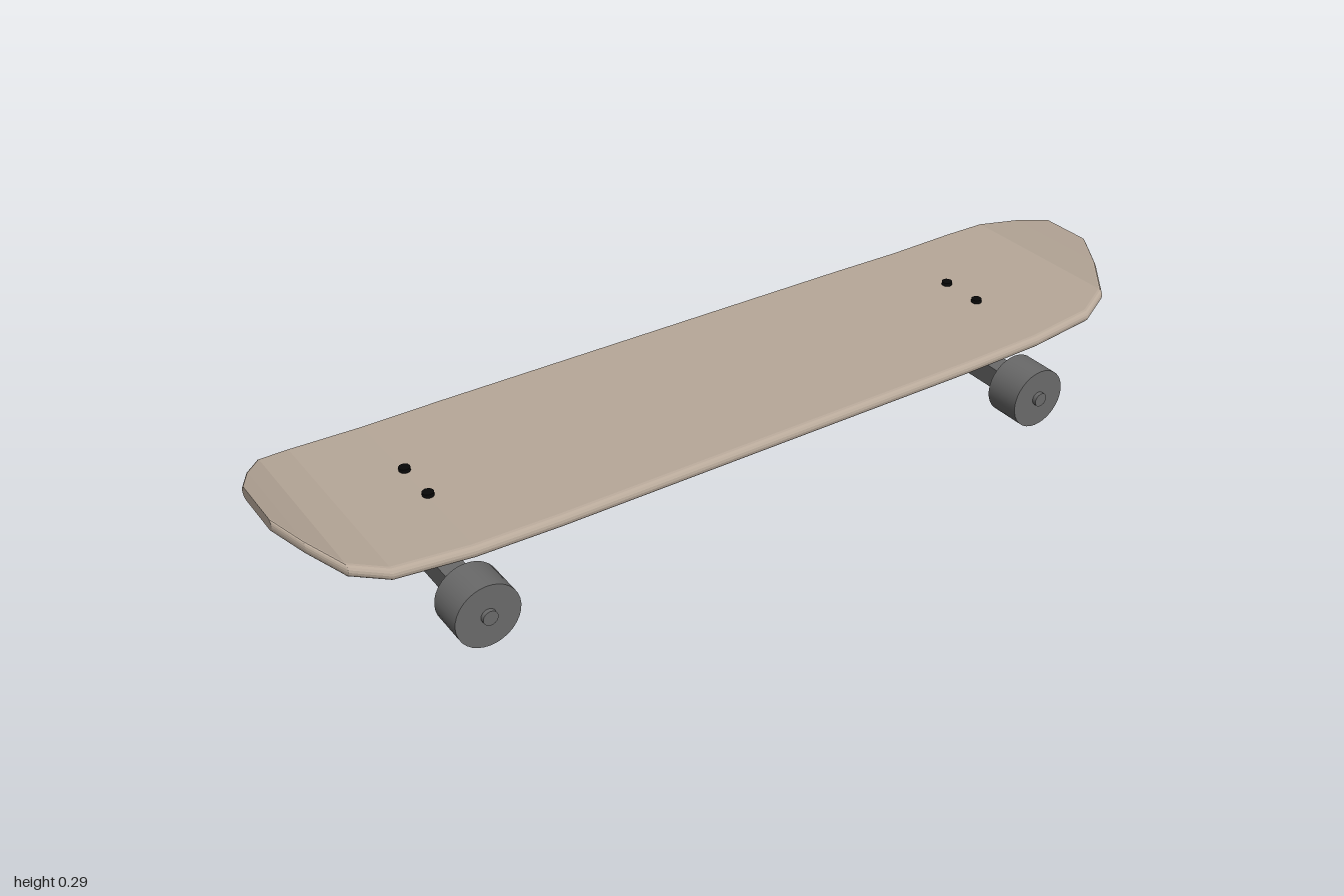
import * as THREE from 'three';
import { toCreasedNormals } from 'three/addons/utils/BufferGeometryUtils.js';

const wood = new THREE.MeshStandardMaterial({ color: 0xb7a899 });
wood.name = 'wood';
const grey = new THREE.MeshStandardMaterial({ color: 0x6a6a6a });
grey.name = 'grey';
const black = new THREE.MeshStandardMaterial({ color: 0x080808 });
black.name = 'black';

function add(parent, name, geometry, material, x = 0, y = 0, z = 0) {
  const mesh = new THREE.Mesh(geometry, material);
  mesh.name = name;
  mesh.position.set(x, y, z);
  parent.add(mesh);
  return mesh;
}

// Board lofted along x from round-edged cross-sections
function deckGeometry() {
  const half = [ // x, half width, top height
    [0.51, 0.256, 0.213], [0.69, 0.252, 0.214], [0.85, 0.242, 0.224],
    [0.92, 0.212, 0.243], [0.967, 0.14, 0.27], [1, 0.07, 0.29],
  ];
  const stations = [...half.map(([x, w, y]) => [-x, w, y]).reverse(), ...half];
  const r = 0.0135, n = 8, ring = 2 * (n + 1);
  const pos = [], idx = [];
  for (const [x, w, top] of stations) {
    for (const side of [1, -1]) {
      for (let k = 0; k <= n; k++) {
        const a = -Math.PI / 2 + (k / n) * Math.PI;
        pos.push(x, top - r + side * r * Math.sin(a), side * (w - r + r * Math.cos(a)));
      }
    }
  }
  const last = (stations.length - 1) * ring;
  for (let s = 0; s < last; s += ring) {
    for (let j = 0; j < ring; j++) {
      const a = s + j, b = s + (j + 1) % ring;
      idx.push(a, a + ring, b, b, a + ring, b + ring);
    }
  }
  // End caps
  for (let j = 1; j < ring - 1; j++) {
    idx.push(0, j, j + 1, last, last + j + 1, last + j);
  }
  const g = new THREE.BufferGeometry();
  g.setAttribute('position', new THREE.Float32BufferAttribute(pos, 3));
  g.setIndex(idx);
  const flat = g.toNonIndexed();
  flat.computeVertexNormals();
  return flat;
}

// Wheel along z, outer face at +z, optionally dished
function wheelGeometry(dished) {
  const R = 0.069, h = 0.0425;
  const profile = [[0, -h], [R, -h], [R, h]];
  if (dished) profile.push([0.047, h], [0.045, h - 0.01], [0, h - 0.01]);
  else profile.push([0, h]);
  const g = new THREE.LatheGeometry(profile.map(([a, b]) => new THREE.Vector2(a, b)), 32);
  g.rotateX(Math.PI / 2);
  return toCreasedNormals(g, 0.6);
}

function makeTruck() {
  const truck = new THREE.Group();
  add(truck, 'baseplate', new THREE.BoxGeometry(0.187, 0.026, 0.187), grey, 0, 0.175, 0);
  add(truck, 'pillar', new THREE.BoxGeometry(0.054, 0.034, 0.074), grey, 0, 0.147, 0);
  add(truck, 'hanger', new THREE.BoxGeometry(0.085, 0.062, 0.13), grey, 0, 0.102, 0);
  add(truck, 'axleBeam', new THREE.BoxGeometry(0.05, 0.05, 0.385), grey, 0, 0.07, 0);
  for (const s of [1, -1]) {
    const wheel = add(truck, s > 0 ? 'frontWheel' : 'backWheel', wheelGeometry(s < 0), grey, 0, 0.069, s * 0.231);
    if (s < 0) wheel.rotation.y = Math.PI;
    const axle = add(truck, 'axleEnd', new THREE.CylinderGeometry(0.016, 0.016, 0.05, 20), grey, 0, 0.07, s * 0.258);
    axle.rotation.x = Math.PI / 2;
    add(truck, 'bolt', new THREE.CylinderGeometry(0.012, 0.012, 0.02, 12), black, 0, 0.212, s * 0.051);
  }
  return truck;
}

export function createModel() {
  const model = new THREE.Group();
  model.name = 'skateboard';
  add(model, 'deck', deckGeometry(), wood);
  for (const s of [1, -1]) {
    const truck = makeTruck();
    truck.name = s > 0 ? 'leftTruck' : 'rightTruck';
    truck.position.x = s * 0.687;
    model.add(truck);
  }
  return model;
}
